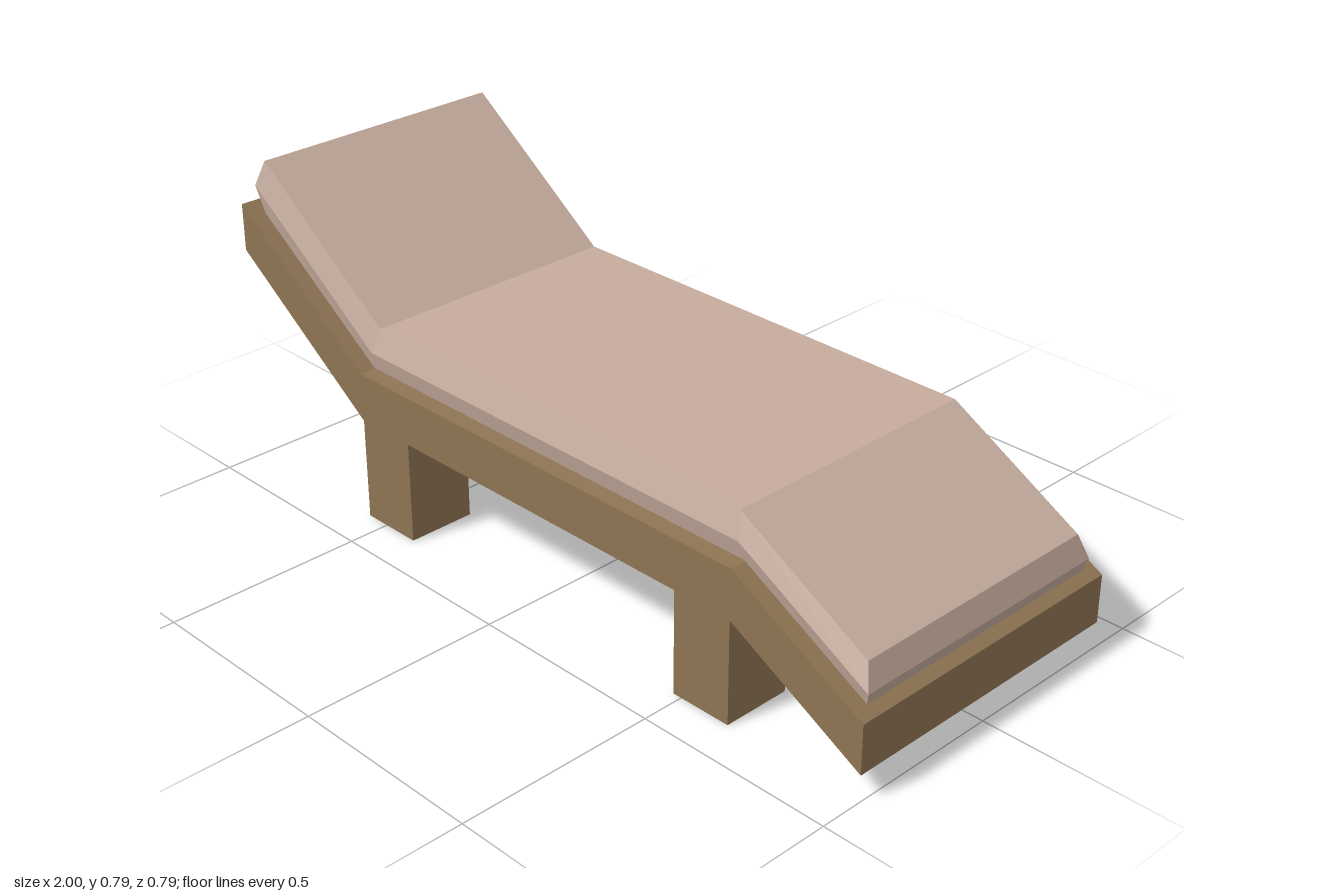
import * as THREE from 'three';

const HALF_DEPTH = 0.393;

// Cushion side outlines, head to foot, as [x, y] plus half width
const LAYERS = [
  { half: 0.352, line: [[-0.963, 0.66], [-0.565, 0.386], [0.635, 0.386], [0.973, 0.203]] },
  { half: 0.362, line: [[-0.983, 0.73], [-0.56, 0.43], [0.627, 0.43], [0.983, 0.235]] },
  { half: 0.342, line: [[-0.965, 0.792], [-0.548, 0.49], [0.612, 0.49], [0.962, 0.295]] },
];

// Lofts a six-sided ring through the four stations and closes both ends
function cushionGeometry() {
  const positions = [], index = [];
  const stations = LAYERS[0].line.length;
  for (let i = 0; i < stations; i++) {
    for (const l of LAYERS) positions.push(...l.line[i], -l.half);
    for (const l of [...LAYERS].reverse()) positions.push(...l.line[i], l.half);
  }
  const quad = (a, b, c, d) => index.push(a, b, c, a, c, d);
  for (let i = 0; i < stations - 1; i++) {
    for (let k = 0; k < 6; k++) {
      const n = (k + 1) % 6;
      quad(i * 6 + k, i * 6 + n, i * 6 + 6 + n, i * 6 + 6 + k);
    }
  }
  const last = (stations - 1) * 6;
  for (const [a, b, c, d] of [[0, 1, 4, 5], [1, 2, 3, 4]]) {
    quad(d, c, b, a);
    quad(last + a, last + b, last + c, last + d);
  }
  const indexed = new THREE.BufferGeometry();
  indexed.setAttribute('position', new THREE.Float32BufferAttribute(positions, 3));
  indexed.setIndex(index);
  const flat = indexed.toNonIndexed();
  flat.computeVertexNormals();
  return flat;
}

export function createModel() {
  const model = new THREE.Group();
  model.name = 'sunLounger';
  const wood = new THREE.MeshStandardMaterial({ color: 0x8f7554 });
  wood.name = 'wood';
  const fabric = new THREE.MeshStandardMaterial({ color: 0xc6ac9e });
  fabric.name = 'cushionFabric';

  function add(name, geometry, material) {
    const mesh = new THREE.Mesh(geometry, material);
    mesh.name = name;
    model.add(mesh);
    return mesh;
  }

  // Bent slab: raised backrest, flat seat, dropped foot end
  const outline = [
    [-1, 0.565], [-0.565, 0.26], [0.637, 0.26], [1, 0.066],
    [1, 0.188], [0.637, 0.384], [-0.565, 0.384], [-1, 0.685],
  ].map(([x, y]) => new THREE.Vector2(x, y));
  const slab = new THREE.ExtrudeGeometry(new THREE.Shape(outline), {
    depth: HALF_DEPTH * 2, bevelEnabled: false,
  });
  slab.translate(0, 0, -HALF_DEPTH);
  add('frame', slab, wood);

  // Four square legs flush with the frame sides
  for (const [end, x0, x1] of [['head', -0.565, -0.4], ['foot', 0.477, 0.637]]) {
    for (const [side, z0, z1] of [['Front', 0.217, HALF_DEPTH], ['Back', -HALF_DEPTH, -0.23]]) {
      const leg = add(end + side + 'Leg', new THREE.BoxGeometry(x1 - x0, 0.26, z1 - z0), wood);
      leg.position.set((x0 + x1) / 2, 0.13, (z0 + z1) / 2);
    }
  }

  // Cushion following the bends of the frame
  add('cushion', cushionGeometry(), fabric);

  return model;
}
